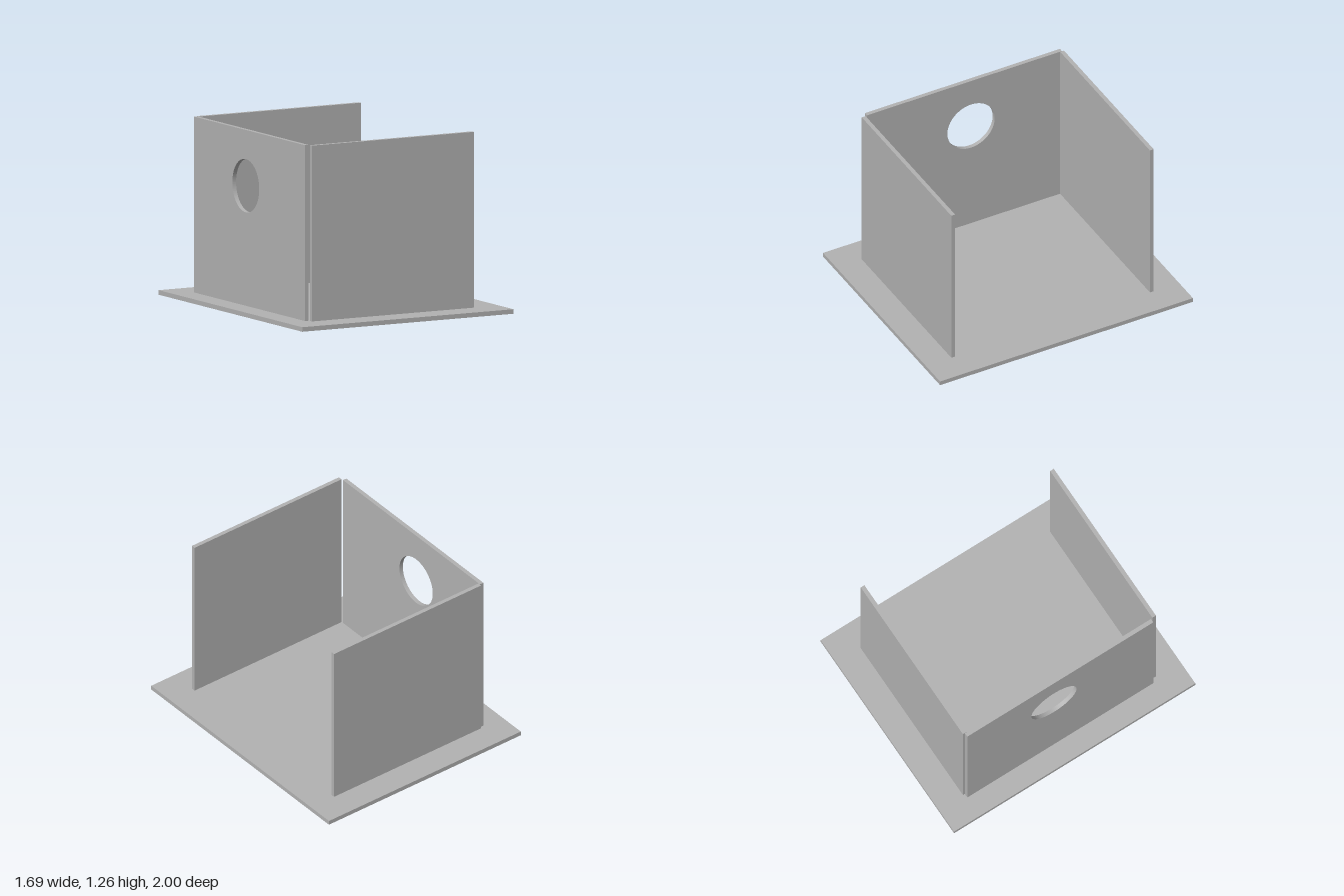
import * as THREE from 'three';

export function createModel() {
  const group = new THREE.Group();
  const grey = new THREE.MeshStandardMaterial({ color: 0xb2b2b2 });
  grey.name = 'plain grey';

  const baseTop = 0.032, wallTop = 1.265, thickness = 0.03;
  const height = wallTop - baseTop;

  const addPart = (name, geometry, x, y, z) => {
    const mesh = new THREE.Mesh(geometry, grey);
    mesh.name = name;
    mesh.position.set(x, y, z);
    group.add(mesh);
    return mesh;
  };

  // Flat base plate
  addPart('basePlate', new THREE.BoxGeometry(1.69, baseTop, 2), 0, baseTop / 2, 0);

  // Matching front and back walls
  for (const [name, side] of [['frontWall', 1], ['backWall', -1]]) {
    addPart(name, new THREE.BoxGeometry(1.295, height, thickness),
      -0.0045, baseTop + height / 2, side * 0.785);
  }

  // Right wall with a round opening; shape x runs along -z once turned
  const zFront = 0.757, zBack = -0.785;
  const outline = new THREE.Shape([
    new THREE.Vector2(-zFront, baseTop), new THREE.Vector2(-zBack, baseTop),
    new THREE.Vector2(-zBack, wallTop), new THREE.Vector2(-zFront, wallTop),
  ]);
  const opening = new THREE.Path();
  opening.absarc(0.066, 0.874, 0.187, 0, Math.PI * 2, true);
  outline.holes.push(opening);
  const panel = new THREE.ExtrudeGeometry(outline, {
    depth: thickness, bevelEnabled: false, curveSegments: 48,
  });
  panel.rotateY(Math.PI / 2);
  addPart('rightWallWithOpening', panel, -0.684, 0, 0);

  return group;
}
